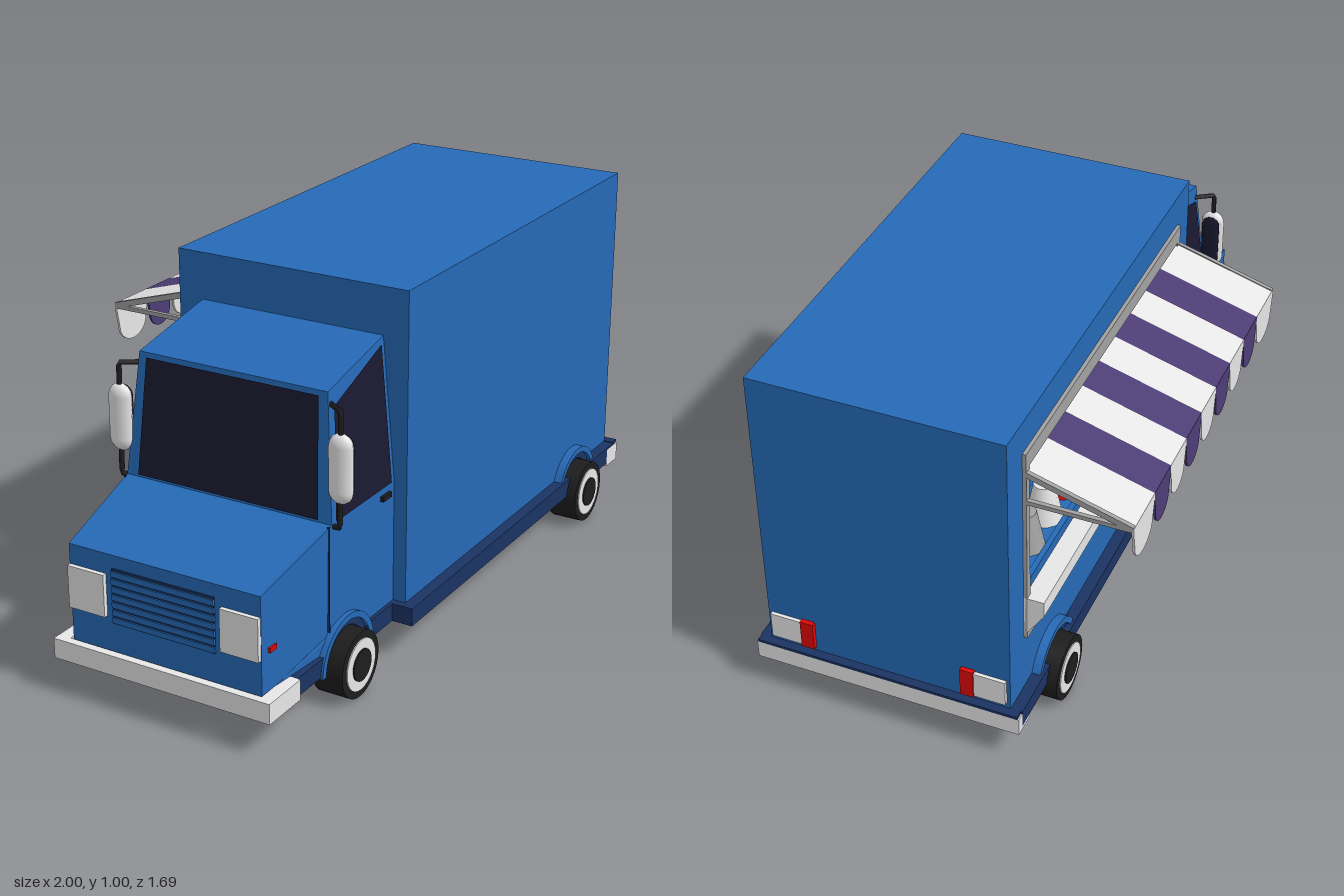
import * as THREE from 'three';

const mat = (name, color, side = THREE.FrontSide) => {
  const m = new THREE.MeshStandardMaterial({ color, side });
  m.name = name;
  return m;
};

export function createModel() {
  const blue = mat('body blue', 0x266ab7);
  const navy = mat('skirt navy', 0x1b3363);
  const glass = mat('dark glass', 0x1a1930, THREE.DoubleSide);
  const black = mat('rubber black', 0x1d1d1d);
  const white = mat('off white', 0xebebeb, THREE.DoubleSide);
  const grey = mat('frame grey', 0xa2a2a2);
  const red = mat('lamp red', 0xe00808);
  const purple = mat('awning purple', 0x4c3c74, THREE.DoubleSide);

  const model = new THREE.Group();
  model.name = 'foodTruck';
  const truck = new THREE.Group(); // local frame: nose +z, left +x
  truck.name = 'truck';
  truck.position.set(0.04, 0, 0.073);
  truck.rotation.y = -1.065; // parked at an angle
  model.add(truck);

  const add = (name, geo, material) => {
    const m = new THREE.Mesh(geo, material);
    m.name = name;
    truck.add(m);
    return m;
  };
  // box given by its extents on each axis
  const box = (name, material, [x0, x1], [y0, y1], [z0, z1]) => {
    const m = add(name, new THREE.BoxGeometry(Math.abs(x1 - x0), y1 - y0, Math.abs(z1 - z0)), material);
    m.position.set((x0 + x1) / 2, (y0 + y1) / 2, (z0 + z1) / 2);
    return m;
  };
  const poly = pts => new THREE.Shape(pts.map(p => new THREE.Vector2(...p)));
  // side profile drawn in (z, y), spanning x0..x1
  const profile = (shape, x0, x1) => {
    const g = new THREE.ExtrudeGeometry(shape, { depth: x1 - x0, bevelEnabled: false, curveSegments: 16 });
    return g.rotateY(-Math.PI / 2).translate(x1, 0, 0);
  };
  // full-width profile whose half width follows a rule of (y, z)
  const tapered = (shape, half) => {
    const g = profile(shape, -1, 1);
    const p = g.attributes.position;
    for (let i = 0; i < p.count; i++) p.setX(i, p.getX(i) * half(p.getY(i), p.getZ(i)));
    g.computeVertexNormals();
    return g;
  };
  const quad = (a, b, c, d) => {
    const g = new THREE.BufferGeometry();
    g.setAttribute('position', new THREE.Float32BufferAttribute([...a, ...b, ...c, ...d], 3));
    g.setIndex([0, 1, 2, 0, 2, 3]);
    g.computeVertexNormals();
    return g;
  };
  const sides = [1, -1];

  // Cargo box: shell with a serving hatch in the right wall
  const H = 0.342, ZF = 0.394, ZR = -0.866;
  const A0 = -0.777, A1 = 0.305; // hatch and awning ends
  box('boxRoof', blue, [-H, H], [0.985, 1], [ZR, ZF]);
  box('boxFloor', blue, [-H, H], [0.13, 0.15], [ZR, ZF]);
  box('boxLeftWall', blue, [H - 0.015, H], [0.15, 0.985], [ZR, ZF]);
  box('boxFrontWall', blue, [-H + 0.015, H - 0.015], [0.15, 0.985], [ZF - 0.015, ZF]);
  box('boxRearWall', blue, [-H + 0.015, H - 0.015], [0.15, 0.985], [ZR, ZR + 0.015]);
  const rect = (z0, z1, y0, y1) => poly([[z0, y0], [z1, y0], [z1, y1], [z0, y1]]);
  const wall = rect(ZR, ZF, 0.15, 0.985);
  wall.holes.push(rect(A0 + 0.02, A1 - 0.02, 0.485, 0.88));
  add('boxRightWall', profile(wall, -H, -H + 0.015), blue);

  // Skirts and underside
  box('boxSkirt', navy, [-0.374, 0.374], [0.1, 0.15], [-0.866, 0.415]);
  box('rearStep', navy, [-0.37, 0.37], [0.144, 0.152], [-0.89, -0.86]);
  box('boxUnderside', blue, [-0.355, 0.355], [0.097, 0.11], [-0.855, 0.4]);
  for (const s of sides) {
    box('cabSkirtRear', navy, [s * 0.29, s * 0.315], [0.1, 0.15], [0.41, 0.545]);
    box('cabSkirtFront', navy, [s * 0.28, s * 0.312], [0.1, 0.15], [0.735, 0.89]);
  }

  // Cab and nose, with a wheel tunnel cut through the lower body
  const WF = 0.64, WR = -0.615; // wheel positions
  const upperHalf = y => THREE.MathUtils.mapLinear(y, 0.485, 0.875, 0.305, 0.27);
  const lowerHalf = (y, z) => (z <= 0.7 ? 0.305 : THREE.MathUtils.mapLinear(z, 0.7, 0.98, 0.305, 0.28));
  const lower = new THREE.Shape();
  lower.moveTo(0.38, 0.12);
  lower.lineTo(WF - 0.108, 0.12);
  lower.absarc(WF, 0.095, 0.108, Math.PI - 0.23, 0.23, true);
  [[0.98, 0.14], [0.98, 0.41], [0.7, 0.485], [0.38, 0.485]].forEach(p => lower.lineTo(...p));
  add('cabLower', tapered(lower, lowerHalf), blue);
  const upper = poly([[0.38, 0.485], [0.7, 0.485], [0.668, 0.815], [0.38, 0.875]]);
  add('cabUpper', tapered(upper, upperHalf), blue);
  add('windshield', quad([-0.268, 0.492, 0.703], [0.268, 0.492, 0.703],
    [0.252, 0.803, 0.673], [-0.252, 0.803, 0.673]), glass);

  // Grille and bumpers
  box('grille', navy, [-0.15, 0.15], [0.225, 0.375], [0.97, 0.984]);
  for (let i = 0; i < 7; i++) {
    const y = 0.228 + i * 0.021;
    box('grilleSlat', blue, [-0.15, 0.15], [y, y + 0.015], [0.975, 0.988]);
  }
  box('frontBumper', white, [-0.32, 0.32], [0.095, 0.15], [0.988, 1.01]);
  box('rearBumper', white, [-0.366, 0.366], [0.09, 0.144], [-0.888, -0.865]);

  for (const s of sides) {
    box('headlight', white, [s * 0.17, s * 0.279], [0.24, 0.355], [0.965, 0.992]);
    box('frontBumperEnd', white, [s * 0.284, s * 0.32], [0.095, 0.15], [0.872, 0.988]);
    box('rearBumperEnd', white, [s * 0.35, s * 0.374], [0.09, 0.144], [-0.888, -0.815]);
    box('sideMarker', red, [s * 0.27, s * 0.289], [0.252, 0.265], [0.925, 0.955]);
    box('doorHandle', black, [s * 0.3, s * 0.314], [0.455, 0.469], [0.42, 0.462]);
    box('reverseLamp', white, [s * 0.245, s * 0.332], [0.168, 0.245], [-0.876, -0.86]);
    box('tailLamp', red, [s * 0.208, s * 0.245], [0.165, 0.25], [-0.879, -0.86]);
    box('doorSeam', navy, [s * 0.3, s * 0.306], [0.2, 0.485], [0.71, 0.714]);
    const pane = (y, z) => [s * (upperHalf(y) + 0.004), y, z];
    add('sideWindow', quad(pane(0.49, 0.685), pane(0.49, 0.412), pane(0.855, 0.412), pane(0.775, 0.65)), glass);

    // Mirror: tall rounded housing, rear-facing glass, bent bracket
    const housing = add('mirrorHousing', new THREE.CapsuleGeometry(0.034, 0.115, 4, 12), white);
    housing.scale.z = 0.6;
    housing.position.set(s * 0.325, 0.635, 0.69);
    const mirror = add('mirrorGlass', new THREE.CapsuleGeometry(0.026, 0.113, 4, 12), glass);
    mirror.scale.z = 0.2;
    mirror.position.set(s * 0.325, 0.635, 0.671);
    const path = new THREE.CurvePath();
    const pts = [[0.265, 0.782, 0.65], [0.325, 0.782, 0.69], [0.325, 0.482, 0.695], [0.295, 0.478, 0.69]]
      .map(([x, y, z]) => new THREE.Vector3(s * x, y, z));
    for (let i = 0; i < 3; i++) path.add(new THREE.LineCurve3(pts[i], pts[i + 1]));
    add('mirrorBracket', new THREE.TubeGeometry(path, 40, 0.007, 6), black);
  }

  // Wheels, axles and arches
  const disc = (name, r, x0, x1, z, material) => {
    const m = add(name, new THREE.CylinderGeometry(r, r, Math.abs(x1 - x0), 28), material);
    m.rotation.z = Math.PI / 2;
    m.position.set((x0 + x1) / 2, 0.09, z);
  };
  const archRing = (r, inner) => {
    const ring = new THREE.Shape();
    ring.absarc(0, 0, r, 0, Math.PI, false);
    ring.absarc(0, 0, inner, Math.PI, 0, true);
    return ring;
  };
  const span = (s, a, b) => (s > 0 ? [a, b] : [-b, -a]);
  for (const [z, outer, body, lip] of [[WF, 0.355, 0.28, 0.318], [WR, 0.405, 0.32, 0.366]]) {
    disc('axle', 0.03, -outer + 0.05, outer - 0.05, z, black);
    for (const s of sides) {
      disc('tyre', 0.09, s * (outer - 0.09), s * (outer - 0.003), z, black);
      disc('rim', 0.07, s * (outer - 0.05), s * outer, z, white);
      disc('hub', 0.043, s * (outer - 0.05), s * (outer + 0.004), z, black);
      add('wheelArch', profile(archRing(0.125, 0.108), ...span(s, body, lip)).translate(0, 0.095, z), blue);
      add('archLiner', profile(archRing(0.108, 0.088), ...span(s, body, lip - 0.01)).translate(0, 0.095, z), navy);
    }
  }

  // Serving hatch frame and shelf
  const frame = rect(A0, A1, 0.32, 0.91);
  frame.holes.push(rect(A0 + 0.02, A1 - 0.02, 0.45, 0.865));
  add('hatchFrame', profile(frame, -H - 0.01, -H + 0.002), grey);
  const apron = new THREE.ExtrudeGeometry(
    poly([[-H, 0.325], [-H, 0.455], [-H - 0.055, 0.455], [-H - 0.055, 0.41]]),
    { depth: A1 - A0, bevelEnabled: false });
  add('shelfApron', apron.translate(0, 0, A0), white);
  box('counter', blue, [-H + 0.01, -H + 0.15], [0.45, 0.462], [A0, A1]);

  // Jars along the counter
  const step = 0.1135, S0 = (A0 + A1) / 2 - 4.5 * step; // awning stripe pitch and start
  [red, grey, white, red, grey, white, white, red, black].forEach((c, i) => {
    const jar = add('jar', new THREE.CylinderGeometry(0.028, 0.05, 0.11, 12), c);
    jar.position.set(-H + 0.07, 0.517, A0 + 0.06 + i * 0.12);
  });

  // Striped awning with a scalloped valance and support frame
  const out = -0.622;
  for (let i = 0; i < 9; i++) {
    const z0 = i === 0 ? A0 : S0 + i * step;
    const z1 = i === 8 ? A1 : S0 + (i + 1) * step;
    const c = i % 2 ? purple : white;
    add('awningStripe', quad([-H, 0.857, z0], [out, 0.772, z0], [out, 0.772, z1], [-H, 0.857, z1]), c);
    const zc = (z0 + z1) / 2, r = (z1 - z0) * 0.42;
    const flap = poly([[zc - r, 0.7], [z0, 0.755], [z0, 0.772], [z1, 0.772], [z1, 0.755], [zc + r, 0.7]]);
    flap.absellipse(zc, 0.7, r, 0.048, 0, Math.PI, true);
    add('awningScallop', profile(flap, out - 0.003, out + 0.003), c);
  }
  for (const z of [A0, A1 - 0.012]) {
    box('awningArm', grey, [out, -H], [0.758, 0.77], [z, z + 0.012]);
    const strut = box('awningStrut', grey, [-0.146, 0.146], [0, 0.016], [z, z + 0.012]);
    strut.position.set((out - H) / 2, 0.809, z + 0.006);
    strut.rotation.z = Math.atan2(0.085, -out - H);
  }
  box('awningRail', grey, [out + 0.004, out + 0.016], [0.758, 0.77], [A0, A1]);
  return model;
}
